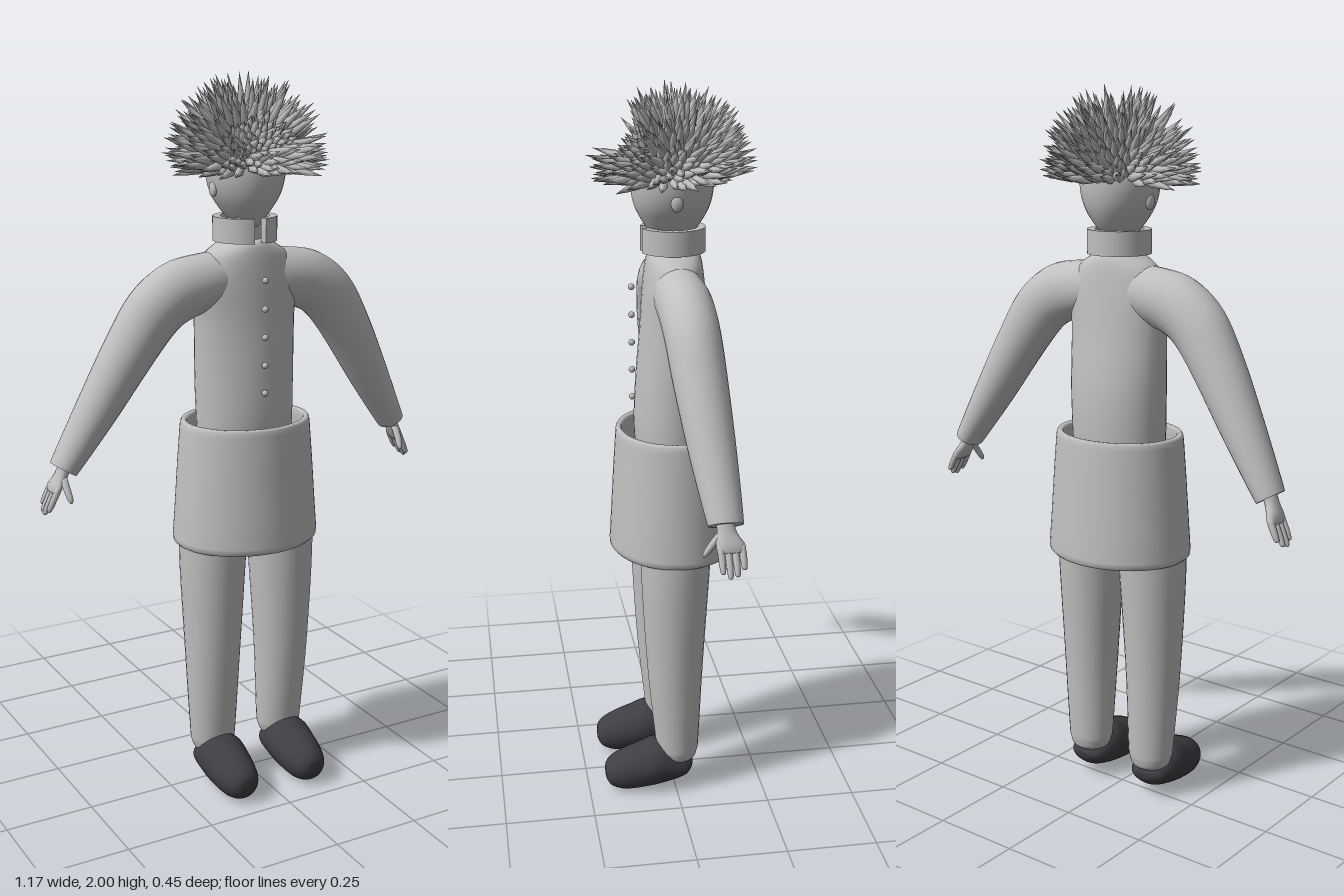
import * as THREE from 'three';
import { mergeGeometries } from 'three/addons/utils/BufferGeometryUtils.js';

const V = (x, y, z) => new THREE.Vector3(x, y, z);

// Smooth closed skin over elliptical rings { c: centre, u, v: half axes }, u x v along the path.
function loft(rings, sub = 5, n = 28) {
  const curves = ['c', 'u', 'v'].map((k) => new THREE.CatmullRomCurve3(rings.map((r) => r[k]), false, 'catmullrom', 0.5));
  const rows = (rings.length - 1) * sub;
  const pos = [], idx = [];
  for (let i = 0; i <= rows; i++) {
    const [c, u, v] = curves.map((k) => k.getPoint(i / rows));
    for (let j = 0; j < n; j++) {
      const a = (j / n) * Math.PI * 2;
      pos.push(...c.clone().addScaledVector(u, Math.cos(a)).addScaledVector(v, Math.sin(a)).toArray());
      if (i === rows) continue;
      const k = (j + 1) % n, p = i * n;
      idx.push(p + j, p + k, p + n + k, p + j, p + n + k, p + n + j);
    }
  }
  // end caps
  const s = pos.length / 3;
  pos.push(...rings[0].c.toArray(), ...rings.at(-1).c.toArray());
  for (let j = 0; j < n; j++) {
    const k = (j + 1) % n;
    idx.push(s, k, j, s + 1, rows * n + j, rows * n + k);
  }
  const g = new THREE.BufferGeometry();
  g.setAttribute('position', new THREE.Float32BufferAttribute(pos, 3));
  g.setIndex(idx);
  g.computeVertexNormals();
  return g;
}

// Upright body from rows [y, cx, cz, rx, rz]
const upright = (rows, sub, n) => loft(rows.map(([y, x, z, rx, rz]) => ({ c: V(x, y, z), u: V(0, 0, rz), v: V(rx, 0, 0) })), sub, n);

// Limb along rows [x, y, z, r, rz], lying close to the xy plane
function limb(rows, sub, n) {
  const pts = rows.map(([x, y, z]) => V(x, y, z));
  return loft(rows.map(([, , , r, rz], i) => {
    const d = pts[Math.min(i + 1, pts.length - 1)].clone().sub(pts[Math.max(i - 1, 0)]);
    return { c: pts[i], u: V(-d.y, d.x, 0).normalize().multiplyScalar(r), v: V(0, 0, rz) };
  }), sub, n);
}

export function createModel() {
  const group = new THREE.Group();
  const grey = new THREE.MeshStandardMaterial({ color: 0xc0c0c0 });
  grey.name = 'clay grey';
  const dark = new THREE.MeshStandardMaterial({ color: 0x3e3e44 });
  dark.name = 'shoe charcoal';
  const add = (name, geometry, material = grey) => {
    const m = new THREE.Mesh(geometry, material);
    m.name = name;
    group.add(m);
    return m;
  };

  // Torso, neck, head
  add('torso', upright([
    [0.97, 0, -0.015, 0.135, 0.1], [1.07, 0, -0.015, 0.14, 0.11], [1.2, 0, -0.017, 0.144, 0.107],
    [1.35, 0, -0.015, 0.148, 0.092], [1.45, 0, -0.014, 0.155, 0.084], [1.52, 0, -0.014, 0.125, 0.077],
    [1.555, 0, -0.014, 0.075, 0.068], [1.565, 0, -0.014, 0.05, 0.05],
  ], 5, 36));
  add('neck', new THREE.CylinderGeometry(0.045, 0.05, 0.14, 24).translate(0, 1.59, -0.015));
  add('head', upright([
    [1.592, 0, -0.005, 0.012, 0.025], [1.603, 0, -0.007, 0.03, 0.05], [1.635, 0, -0.01, 0.06, 0.076],
    [1.68, 0, -0.01, 0.09, 0.1], [1.73, 0, -0.01, 0.105, 0.11], [1.78, 0, -0.01, 0.104, 0.107],
    [1.83, 0, -0.01, 0.083, 0.085], [1.862, 0, -0.01, 0.045, 0.045], [1.872, 0, -0.01, 0.01, 0.01],
  ], 4, 32));

  // Stand-up collar, open at the front
  const collar = new THREE.Shape();
  const a0 = -Math.PI / 2 + 0.2, a1 = 1.5 * Math.PI - 0.2;
  collar.absarc(0, 0, 0.087, a0, a1, false);
  collar.absarc(0, 0, 0.066, a1, a0, true);
  add('collar', new THREE.ExtrudeGeometry(collar, { depth: 0.066, bevelEnabled: false, curveSegments: 40 })
    .rotateX(-Math.PI / 2).translate(0, 1.559, -0.0125));

  // Jacket skirt, an open flared band with thickness
  const skirt = [[0.188, 0.72], [0.202, 0.72], [0.209, 0.727], [0.21, 0.74], [0.204, 0.82], [0.195, 0.95], [0.187, 1.05],
    [0.185, 1.064], [0.181, 1.07], [0.17, 1.07], [0.166, 1.064], [0.168, 1.04], [0.18, 0.9], [0.187, 0.74], [0.188, 0.72]];
  add('jacketSkirt', new THREE.LatheGeometry(skirt.map(([r, y]) => new THREE.Vector2(r, y)), 56)
    .scale(1, 1, 0.85).translate(0, 0, -0.012));

  // Front buttons
  for (let i = 0; i < 5; i++) {
    add('button', new THREE.SphereGeometry(0.009, 12, 8).translate(0, 1.465 - i * 0.0765, 0.1));
  }

  for (const s of [1, -1]) {
    const side = s > 0 ? 'left' : 'right';
    // Arm sleeve
    add(side + 'Sleeve', limb([
      [0.04, 1.465, -0.015, 0.07, 0.065], [0.12, 1.455, -0.016, 0.078, 0.072], [0.2, 1.435, -0.018, 0.083, 0.073],
      [0.27, 1.385, -0.022, 0.08, 0.072], [0.34, 1.285, -0.03, 0.071, 0.069], [0.43, 1.135, -0.045, 0.057, 0.06],
      [0.515, 0.995, -0.06, 0.04, 0.047], [0.523, 0.982, -0.061, 0.036, 0.043],
    ].map(([x, ...r]) => [s * x, ...r])));
    // Hand with four fingers and a thumb
    add(side + 'Palm', limb([
      [0.515, 1.0, -0.06, 0.018, 0.022], [0.53, 0.965, -0.063, 0.016, 0.025],
      [0.545, 0.935, -0.07, 0.014, 0.037], [0.553, 0.917, -0.072, 0.009, 0.034],
    ].map(([x, ...r]) => [s * x, ...r]), 4, 16));
    for (let i = 0; i < 4; i++) {
      const z = -0.044 - i * 0.018, l = [0.85, 1, 0.95, 0.75][i];
      add(side + 'Finger', limb([
        [0.545, 0.935, z, 0.009, 0.009], [0.545 + 0.018 * l, 0.935 - 0.037 * l, z - 0.002, 0.009, 0.009],
        [0.545 + 0.033 * l, 0.935 - 0.068 * l, z - 0.003, 0.007, 0.007], [0.545 + 0.036 * l, 0.935 - 0.074 * l, z - 0.003, 0.003, 0.003],
      ].map(([x, ...r]) => [s * x, ...r]), 3, 10));
    }
    add(side + 'Thumb', limb([
      [0.53, 0.965, -0.05, 0.01, 0.011], [0.529, 0.935, -0.028, 0.01, 0.011],
      [0.526, 0.91, -0.013, 0.008, 0.009], [0.525, 0.9, -0.009, 0.003, 0.004],
    ].map(([x, ...r]) => [s * x, ...r]), 3, 10));
    // Ear
    add(side + 'Ear', new THREE.SphereGeometry(0.018, 14, 10).scale(0.5, 1.2, 0.9).translate(s * 0.098, 1.7, -0.008));
    // Trouser leg
    add(side + 'Leg', upright([
      [0.082, 0.11, -0.008, 0.02, 0.02], [0.092, 0.11, -0.008, 0.05, 0.048], [0.115, 0.11, -0.008, 0.062, 0.058],
      [0.16, 0.11, -0.007, 0.067, 0.063], [0.4, 0.112, -0.001, 0.079, 0.08], [0.72, 0.108, -0.003, 0.095, 0.098],
      [0.9, 0.095, -0.01, 0.094, 0.1], [1.02, 0.075, -0.015, 0.062, 0.085],
    ].map(([y, x, ...r]) => [y, s * x, ...r])));
    // Shoe, rows [z, bottom, top, half width]
    add(side + 'Shoe', loft([
      [-0.052, 0.072, 0.08, 0.01], [-0.045, 0.052, 0.088, 0.035], [-0.02, 0.03, 0.108, 0.057], [0.045, 0.01, 0.15, 0.069],
      [0.1, 0.002, 0.135, 0.066], [0.15, 0, 0.117, 0.058], [0.185, 0.012, 0.098, 0.044], [0.2, 0.032, 0.08, 0.025], [0.203, 0.048, 0.062, 0.008],
    ].map(([z, lo, hi, w]) => ({ c: V(s * 0.11, (lo + hi) / 2, z), u: V(w, 0, 0), v: V(0, (hi - lo) / 2, 0) }))), dark);
  }

  // Spiky hair: spindles radiating from the skull, with a forward fringe
  let seed = 7;
  const rnd = () => (seed = (seed * 16807) % 2147483647) / 2147483647;
  const spindle = new THREE.LatheGeometry([[0.006, 0], [0.013, 0.3], [0.008, 0.65], [0, 1]]
    .map(([r, y]) => new THREE.Vector2(r, y)), 5);
  const spikes = [], N = 380, centre = V(0, 1.765, -0.01);
  for (let i = 0; i < N; i++) {
    const h = -0.12 + 1.1 * ((i + 0.5) / N), a = i * 2.39996, w = Math.sqrt(1 - h * h);
    const root = V(Math.cos(a) * w, h, Math.sin(a) * w);
    const dir = root.clone().add(V((rnd() - 0.5) * 0.3, (rnd() - 0.5) * 0.2, (rnd() - 0.5) * 0.3));
    if (root.z < 0) dir.y += 0.22 * -root.z;
    dir.normalize();
    let len = 0.095 + 0.04 * rnd() + 0.02 * Math.max(h, 0);
    if (root.z > 0.45 && h > 0.3) len *= 0.5;
    const base = centre.clone().add(root.multiply(V(0.093, 0.09, 0.097)));
    const q = new THREE.Quaternion().setFromUnitVectors(V(0, 1, 0), dir);
    spikes.push(spindle.clone().applyMatrix4(new THREE.Matrix4().compose(base, q, V(1, len, 1))));
  }
  add('hair', mergeGeometries(spikes));
  return group;
}
